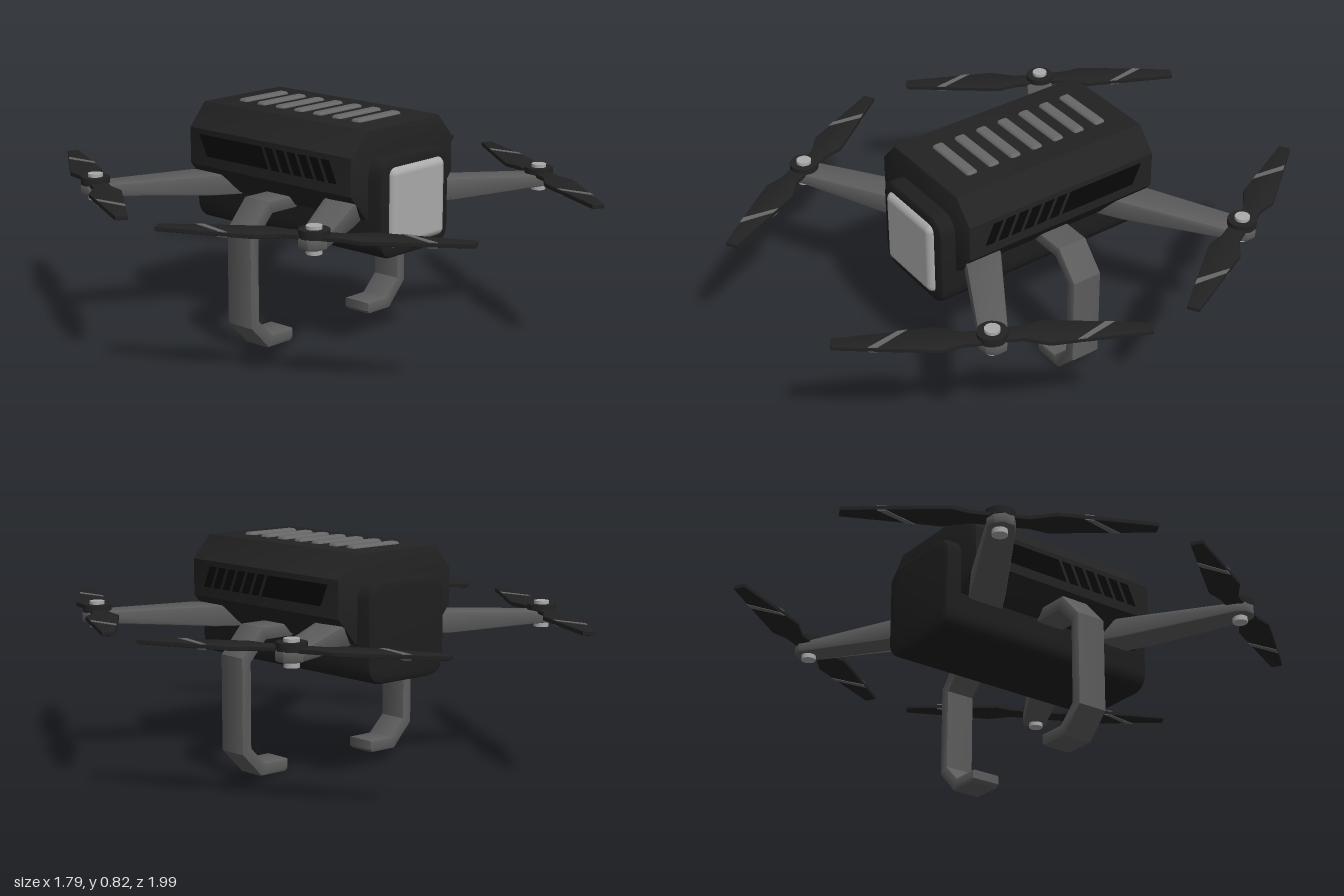
import * as THREE from 'three';
import { RoundedBoxGeometry } from 'three/addons/geometries/RoundedBoxGeometry.js';
import { toCreasedNormals } from 'three/addons/utils/BufferGeometryUtils.js';

const mat = (color) => new THREE.MeshStandardMaterial({ color });
const shellMat = mat(0x222222), coreMat = mat(0x1e1e1e), armMat = mat(0x5c5c5c);
const barMat = mat(0x666666), ventMat = mat(0x080808), lightMat = mat(0xaaaaaa);

const polygon = (pts) => new THREE.Shape(pts.map(([x, y]) => new THREE.Vector2(x, y)));

// Extrusion along z, centred, whose bevel stays inside the given outline and depth
function slab(shape, depth, bevel = 0, bevelSegments = 2) {
  const g = new THREE.ExtrudeGeometry(shape, {
    depth: depth - 2 * bevel, bevelEnabled: bevel > 0, bevelSize: bevel,
    bevelThickness: bevel, bevelOffset: -bevel, bevelSegments, curveSegments: 6,
  });
  g.translate(0, 0, bevel - depth / 2);
  return toCreasedNormals(g, 0.5);
}

// Plate drawn as (x, z) points, between heights y0 and y1
function plate(pts, y0, y1, bevel = 0) {
  const g = slab(polygon(pts.map(([x, z]) => [x, -z])), y1 - y0, bevel);
  g.rotateX(-Math.PI / 2);
  return g.translate(0, (y0 + y1) / 2, 0);
}

function roundedRect(w, y0, y1, r) {
  const s = new THREE.Shape();
  s.moveTo(-w + r, y0);
  s.lineTo(w - r, y0).quadraticCurveTo(w, y0, w, y0 + r);
  s.lineTo(w, y1 - r).quadraticCurveTo(w, y1, w - r, y1);
  s.lineTo(-w + r, y1).quadraticCurveTo(-w, y1, -w, y1 - r);
  s.lineTo(-w, y0 + r).quadraticCurveTo(-w, y0, -w + r, y0);
  return s;
}

function add(parent, name, geometry, material, x = 0, y = 0, z = 0) {
  const m = new THREE.Mesh(geometry, material);
  m.name = name;
  m.position.set(x, y, z);
  parent.add(m);
  return m;
}

function makeBody() {
  const body = new THREE.Group();
  body.name = 'body';
  add(body, 'core', slab(roundedRect(0.183, 0.36, 0.72, 0.075), 0.91, 0.02), coreMat);

  // Faceted upper shell
  const half = [[0.19, 0.5], [0.27, 0.595], [0.27, 0.73], [0.195, 0.815]];
  const outline = [...half, ...half.slice().reverse().map(([x, y]) => [-x, y])];
  add(body, 'upperShell', slab(polygon(outline), 0.79, 0.008), shellMat);

  add(body, 'frontPanel', new RoundedBoxGeometry(0.285, 0.285, 0.06, 4, 0.028), lightMat, 0, 0.543, 0.445);

  // Raised bars on the roof
  for (let i = -3; i <= 3; i++) {
    add(body, 'roofBar', new RoundedBoxGeometry(0.225, 0.03, 0.045, 3, 0.012), barMat, 0, 0.81, i * 0.0915 - 0.005);
  }

  // Slanted side vents: narrow slots, then one long slot
  const slots = [];
  for (let i = 0; i < 6; i++) slots.push([0.33 - i * 0.054, 0.037]);
  slots.push([0.006, 0.31]);
  for (const side of [-1, 1]) {
    for (const [z, w] of slots) {
      const g = slab(polygon([[-z, 0.632], [-z + w, 0.632], [-z + w + 0.036, 0.71], [-z + 0.036, 0.71]]), 0.01);
      g.rotateY(Math.PI / 2);
      add(body, 'sideVent', g, ventMat, side * 0.267, 0, 0);
    }
  }
  return body;
}

// C-shaped landing leg
function makeLeg(side) {
  const pts = [[0.1, 0.535], [0.325, 0.535], [0.415, 0.435], [0.415, 0.09], [0.328, 0], [0.215, 0],
    [0.203, 0.012], [0.203, 0.045], [0.308, 0.045], [0.372, 0.108], [0.372, 0.415], [0.303, 0.488], [0.1, 0.488]];
  const g = slab(polygon(pts.map(([x, y]) => [side * x, y])), 0.118, 0.008);
  const m = new THREE.Mesh(g, armMat);
  m.name = 'landingLeg';
  return m;
}

// Arm, motor and two-bladed propeller for one corner
function makeRotor(sx, sz) {
  const rotor = new THREE.Group();
  rotor.name = 'rotorArm';
  const cx = 0.603, cz = 0.536;
  const flip = (pts) => pts.map(([x, z]) => [sx * x, sz * z]);

  // Arm, deeper towards the body
  const arm = plate(flip([[0.15, 0.345], [0.27, 0.408], [0.57, 0.568], [0.595, 0.585], [0.63, 0.58], [0.655, 0.555],
    [0.655, 0.515], [0.625, 0.487], [0.27, 0.265], [0.15, 0.195]]), 0.515, 0.555, 0.008);
  const p = arm.attributes.position;
  for (let i = 0; i < p.count; i++) {
    const t = Math.max(0, (cx - Math.abs(p.getX(i))) / 0.33);
    p.setY(i, p.getY(i) + (p.getY(i) > 0.535 ? 0.014 : -0.024) * Math.min(t, 1));
  }
  add(rotor, 'arm', toCreasedNormals(arm, 0.5), armMat);

  add(rotor, 'motorPin', new THREE.CylinderGeometry(0.027, 0.027, 0.095, 24), lightMat, sx * cx, 0.543, sz * cz);
  add(rotor, 'propellerHub', new THREE.CylinderGeometry(0.052, 0.052, 0.028, 24), shellMat, sx * cx, 0.565, sz * cz);

  // Blade points run (along, across) from the hub
  const blade = [[0.02, -0.03], [0.1, -0.026], [0.185, -0.058], [0.525, -0.032], [0.525, 0.012],
    [0.28, 0.047], [0.165, 0.062], [0.1, 0.04], [0.02, 0.035]];
  const stripe = [[0.275, -0.0505], [0.305, -0.048], [0.405, 0.028], [0.375, 0.032]];
  for (const turn of [1, -1]) {
    const place = (pts) => flip(pts.map(([u, v]) => [
      cx + turn * (-0.5 * u + 0.866 * v), cz + turn * (0.866 * u + 0.5 * v)]));
    add(rotor, 'propellerBlade', plate(place(blade), 0.547, 0.563, 0.003), shellMat);
    add(rotor, 'bladeStripe', plate(place(stripe), 0.545, 0.565), barMat);
  }
  return rotor;
}

export function createModel() {
  const model = new THREE.Group();
  model.name = 'quadcopter';
  model.add(makeBody());
  for (const sx of [-1, 1]) {
    model.add(makeLeg(sx));
    for (const sz of [-1, 1]) model.add(makeRotor(sx, sz));
  }
  return model;
}
